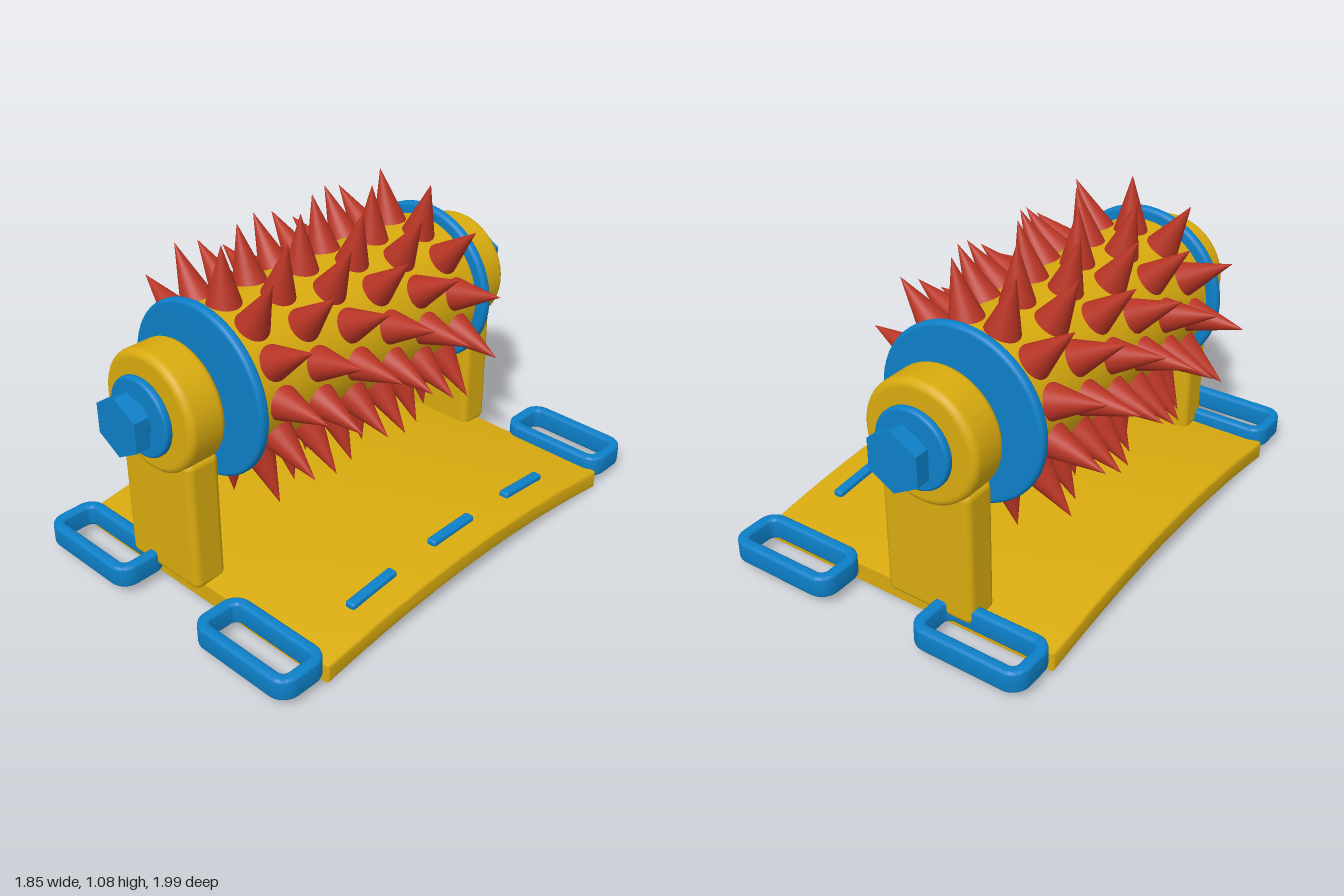
import * as THREE from 'three';
import { toCreasedNormals } from 'three/addons/utils/BufferGeometryUtils.js';
import { RoundedBoxGeometry } from 'three/addons/geometries/RoundedBoxGeometry.js';

const AXIS_X = -0.13, AXIS_Y = 0.643;
const HALF_LENGTH = 0.678, WIDTH = 1.115, ARCH = 0.055, THICK = 0.065;

function material(name, color) {
  const m = new THREE.MeshStandardMaterial({ color });
  m.name = name;
  return m;
}

// Disc along z with a rounded rim
function roundedDisc(radius, depth, bevel) {
  const pts = [new THREE.Vector2(0, -depth / 2)];
  for (const side of [-1, 1]) {
    for (let i = 0; i <= 5; i++) {
      const a = (i / 5) * Math.PI / 2 + (side < 0 ? -Math.PI / 2 : 0);
      pts.push(new THREE.Vector2(
        radius - bevel + bevel * Math.cos(a),
        side * (depth / 2 - bevel) + bevel * Math.sin(a)));
    }
  }
  pts.push(new THREE.Vector2(0, depth / 2));
  return new THREE.LatheGeometry(pts, 56).rotateX(Math.PI / 2);
}

function roundedRect(target, w, h, r) {
  const x = w / 2, y = h / 2;
  target.moveTo(-x + r, -y);
  target.lineTo(x - r, -y);
  target.absarc(x - r, -y + r, r, -Math.PI / 2, 0);
  target.lineTo(x, y - r);
  target.absarc(x - r, y - r, r, 0, Math.PI / 2);
  target.lineTo(-x + r, y);
  target.absarc(-x + r, y - r, r, Math.PI / 2, Math.PI);
  target.lineTo(-x, -y + r);
  target.absarc(-x + r, -y + r, r, Math.PI, Math.PI * 1.5);
  return target;
}

// Arched plate: side profile extruded across its width
function plateGeometry() {
  const b = 0.01, l = HALF_LENGTH - b;
  const s = new THREE.Shape();
  s.moveTo(-l, b);
  s.quadraticCurveTo(0, b + 2 * ARCH, l, b);
  s.lineTo(l, THICK - b);
  s.quadraticCurveTo(0, THICK - b + 2 * ARCH, -l, THICK - b);
  s.closePath();
  const depth = WIDTH - 2 * b;
  const g = new THREE.ExtrudeGeometry(s, {
    depth, curveSegments: 28, bevelEnabled: true,
    bevelSize: b, bevelThickness: b, bevelSegments: 3,
  });
  g.translate(0, 0, -depth / 2).rotateY(-Math.PI / 2);
  return toCreasedNormals(g, 0.6);
}

// Strap loop lying flat
function loopGeometry() {
  const b = 0.01, wall = 0.038, w = 0.4, h = 0.19, r = 0.06;
  const s = roundedRect(new THREE.Shape(), w - 2 * b, h - 2 * b, r - b);
  s.holes.push(roundedRect(new THREE.Path(), w - 2 * wall + 2 * b, h - 2 * wall + 2 * b, r - wall + b));
  const g = new THREE.ExtrudeGeometry(s, {
    depth: 0.075 - 2 * b, curveSegments: 8, bevelEnabled: true,
    bevelSize: b, bevelThickness: b, bevelSegments: 3,
  });
  g.translate(0, 0, -0.0375 + b).rotateX(-Math.PI / 2);
  return toCreasedNormals(g, 0.6);
}

export function createModel() {
  const yellow = material('golden yellow', 0xd9ab0f);
  const blue = material('bright blue', 0x0d80c8);
  const red = material('brick red', 0xb83424);

  const model = new THREE.Group();
  model.name = 'spikedRoller';
  model.rotation.y = -0.616;

  const add = (name, geometry, mat, x, y, z) => {
    const mesh = new THREE.Mesh(geometry, mat);
    mesh.name = name;
    mesh.position.set(x, y, z);
    model.add(mesh);
    return mesh;
  };

  add('basePlate', plateGeometry(), yellow, 0, 0, 0);

  // Strap loops at the four corners
  const loop = loopGeometry();
  for (const x of [-0.358, 0.358]) {
    for (const z of [-0.76, 0.76]) add('strapLoop', loop, blue, x, 0.071, z);
  }

  // Raised bars along one long edge, following the arch
  const bar = new RoundedBoxGeometry(0.036, 0.04, 0.2, 3, 0.01);
  for (const z of [-0.375, 0, 0.375]) {
    const k = ARCH / HALF_LENGTH ** 2;
    const mesh = add('edgeBar', bar, blue, 0.448, THICK + ARCH - k * z * z - 0.003, z);
    mesh.rotation.x = Math.atan(2 * k * z);
  }

  // Roller drum and axle
  add('drum', new THREE.CylinderGeometry(0.25, 0.25, 1.03, 64).rotateX(Math.PI / 2),
    yellow, AXIS_X, AXIS_Y, 0);
  add('axle', new THREE.CylinderGeometry(0.06, 0.06, 1.6, 32).rotateX(Math.PI / 2),
    blue, AXIS_X, AXIS_Y, 0);

  // Uprights, flanges and bolts, mirrored on both ends
  const flange = roundedDisc(0.29, 0.036, 0.014);
  const head = roundedDisc(0.2, 0.138, 0.025);
  const washer = roundedDisc(0.13, 0.028, 0.01);
  const leg = new RoundedBoxGeometry(0.32, 0.465, 0.122, 4, 0.025);
  const hex = new THREE.CylinderGeometry(0.1, 0.1, 0.05, 6).toNonIndexed();
  hex.computeVertexNormals();
  hex.rotateX(Math.PI / 2);
  for (const s of [-1, 1]) {
    add('flange', flange, blue, AXIS_X, AXIS_Y, s * 0.518);
    add('innerWasher', washer, blue, AXIS_X, AXIS_Y, s * 0.56);
    add('uprightHead', head, yellow, AXIS_X, AXIS_Y, s * 0.655);
    add('uprightLeg', leg, yellow, AXIS_X, 0.287, s * 0.652);
    add('outerWasher', washer, blue, AXIS_X, AXIS_Y, s * 0.745);
    add('boltHead', hex, blue, AXIS_X, AXIS_Y, s * 0.81);
  }

  // Staggered rings of spikes
  const spikes = new THREE.Group();
  spikes.name = 'spikes';
  spikes.position.set(AXIS_X, AXIS_Y, 0);
  const cone = new THREE.ConeGeometry(0.058, 0.195, 24).translate(0, 0.3375, 0);
  const PER_RING = 12;
  for (let ring = 0; ring < 6; ring++) {
    for (let i = 0; i < PER_RING; i++) {
      const spike = new THREE.Mesh(cone, red);
      spike.name = 'spike';
      spike.position.z = (ring - 2.5) * 0.163;
      spike.rotation.z = (i + (ring % 2 ? 0 : 0.5)) * 2 * Math.PI / PER_RING;
      spikes.add(spike);
    }
  }
  model.add(spikes);

  const root = new THREE.Group();
  root.name = 'spikedRollerAssembly';
  root.add(model);
  return root;
}
